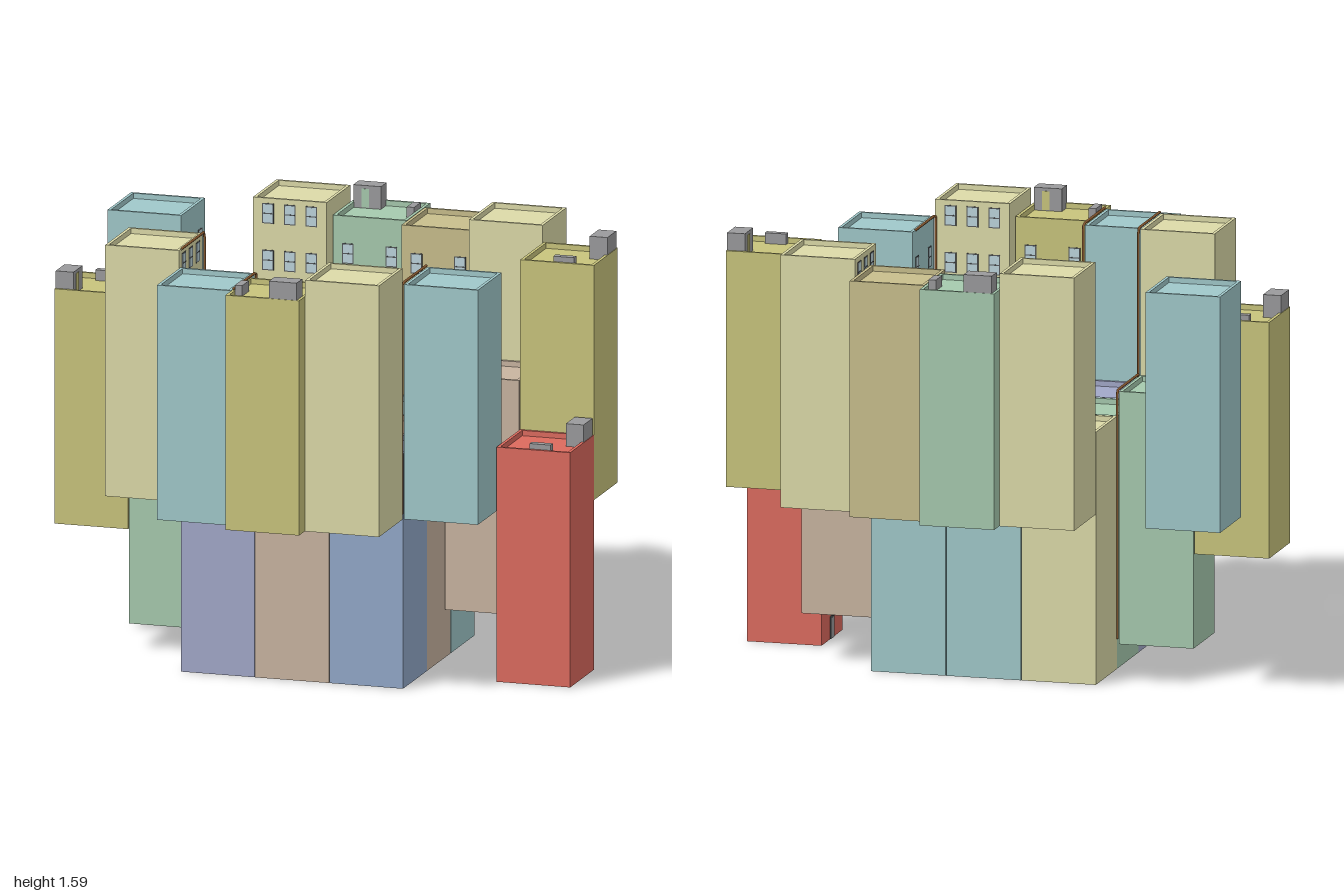
import * as THREE from 'three';

const W = 0.282, H = W / 2;
const COLORS = {
  pale: 0xdcdaa8, teal: 0xa0c8ca, olive: 0xc8c47c, green: 0xa6caae, purple: 0xa2a8c8,
  tan: 0xc8b4a0, blue: 0x92a8c8, red: 0xdc6a5e, ochre: 0xc8be8c,
  concrete: 0x9a9a9c, glass: 0xbcd4dc, frame: 0x55585a, pipe: 0x8a5a30,
};
const materials = {};
const mat = (c) => (materials[c] ??= new THREE.MeshStandardMaterial({ color: COLORS[c] }));

function box(parent, name, color, w, h, d, x, y, z) {
  const mesh = new THREE.Mesh(new THREE.BoxGeometry(w, h, d), mat(color));
  mesh.name = name;
  mesh.position.set(x, y, z);
  parent.add(mesh);
}

// Square rim that stands around a sunken roof
function parapetGeometry(depth) {
  const square = (r, target) => target.moveTo(-r, -r).lineTo(r, -r).lineTo(r, r).lineTo(-r, r).closePath();
  const shape = square(H, new THREE.Shape());
  shape.holes.push(square(H - 0.012, new THREE.Path()));
  return new THREE.ExtrudeGeometry(shape, { depth, bevelEnabled: false }).rotateX(-Math.PI / 2);
}

function addWindow(g, x, y) {
  box(g, 'windowFrame', 'frame', 0.044, 0.076, 0.003, x, y, H);
  box(g, 'windowPane', 'glass', 0.036, 0.068, 0.005, x, y, H);
  box(g, 'windowBar', 'frame', 0.036, 0.004, 0.007, x, y, H);
}

// Gutter along the front roof edge with a downpipe at one end
function addPipe(g, h) {
  const y = h + 0.004, z = H + 0.006;
  const path = new THREE.CatmullRomCurve3([
    new THREE.Vector3(-H, y, z), new THREE.Vector3(0, y, z), new THREE.Vector3(H - 0.01, y, z),
    new THREE.Vector3(H + 0.004, y - 0.015, z), new THREE.Vector3(H + 0.004, h / 2, z),
    new THREE.Vector3(H + 0.004, 0.02, z),
  ], false, 'catmullrom', 0.1);
  const mesh = new THREE.Mesh(new THREE.TubeGeometry(path, 48, 0.005, 6), mat('pipe'));
  mesh.name = 'drainPipe';
  g.add(mesh);
}

// kind: 'tall' has three window columns, 'plain' two, 'hut' adds roof structures
function tower(color, kind, x, y, z, turn, piped) {
  const g = new THREE.Group();
  g.name = color + 'Tower';
  const tall = kind === 'tall', h = tall ? 0.942 : 0.88, rim = 0.02;
  box(g, 'towerBody', color, W, h - rim, W, 0, (h - rim) / 2, 0);
  const parapet = new THREE.Mesh(parapetGeometry(rim), mat(color));
  parapet.name = 'parapet';
  parapet.position.y = h - rim;
  g.add(parapet);

  const columns = tall ? [-0.083, 0, 0.083] : [-0.083, 0.083];
  const rows = tall ? [0.885, 0.71, 0.535, 0.36, 0.185] : [0.74, 0.575, 0.41, 0.245];
  for (const wy of rows) for (const wx of columns) addWindow(g, wx, wy);

  if (!tall) {
    box(g, 'doorFrame', 'frame', 0.05, 0.085, 0.003, 0, 0.0425, H);
    box(g, 'door', 'concrete', 0.04, 0.078, 0.006, 0, 0.039, H);
    box(g, 'doorCanopy', 'frame', 0.03, 0.014, 0.016, 0, 0.093, H + 0.003);
  }
  if (kind === 'hut') {
    box(g, 'roofHut', 'concrete', 0.106, 0.085, 0.068, -0.078, h + 0.0225, -0.105);
    box(g, 'hutDoor', color, 0.028, 0.07, 0.004, -0.085, h + 0.018, -0.071);
    box(g, 'roofVent', 'concrete', 0.028, 0.04, 0.08, 0.116, h, -0.022);
  }
  if (piped) addPipe(g, h);
  g.position.set(x, y, z);
  g.rotation.y = turn * Math.PI / 2;
  return g;
}

export function createModel() {
  const model = new THREE.Group();
  model.name = 'towerCluster';
  const P = 0.284, U = 0.636;
  // color, kind, x, y, z, quarter turns, has drain pipe
  const towers = [
    // Ground block, three by three
    ['pale', 'tall', -P, 0, -P, 0], ['teal', 'hut', 0, 0, -P, 0], ['teal', 'plain', P, 0, -P, 0],
    ['green', 'tall', -P, 0, 0, 1], ['red', 'hut', 0, 0, 0, 0], ['tan', 'plain', P, 0, 0, -1],
    ['purple', 'tall', -P, 0, P, 2], ['tan', 'hut', 0, 0, P, 2], ['blue', 'plain', P, 0, P, 2],
    // Raised ring, facing inwards
    ['pale', 'tall', -P, U, -0.573, 0], ['green', 'hut', 0, U, -0.64, 0],
    ['ochre', 'plain', P, U, -0.573, 0], ['pale', 'tall', 0.57, U, -0.487, -1],
    ['olive', 'hut', 0.857, U, -0.204, -1], ['teal', 'plain', 0.57, U, P, -1, true],
    ['pale', 'tall', P, U, 0.57, 2], ['olive', 'hut', 0, U, 0.637, 2],
    ['teal', 'plain', -P, U, 0.568, 1, true], ['pale', 'tall', -0.573, U, P, 1, true],
    ['teal', 'plain', -0.805, U, -0.464, 1],
    // Lower outliers
    ['green', 'tall', -0.573, 0.092, 0, 1, true], ['olive', 'hut', -0.859, 0.445, 0, 1],
    ['tan', 'plain', 0.57, 0.182, -0.204, -1], ['red', 'hut', 0.857, 0, 0.079, -1],
  ];
  for (const t of towers) model.add(tower(...t));
  return model;
}
